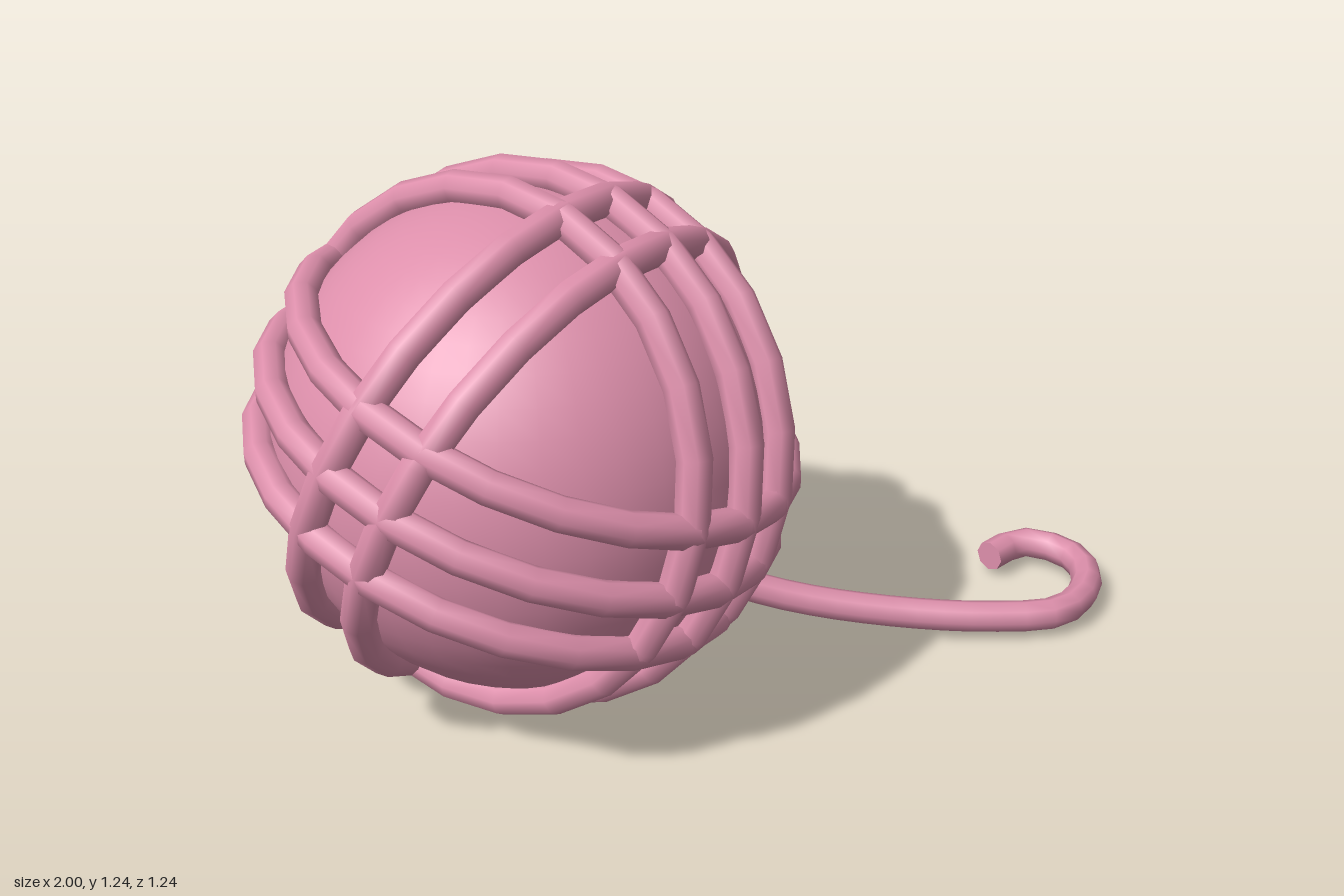
import * as THREE from 'three';

export function createModel() {
  const model = new THREE.Group();
  const pink = new THREE.MeshStandardMaterial({ color: 0xdd8fab });
  pink.name = 'pink yarn';

  const add = (parent, name, geometry) => {
    const mesh = new THREE.Mesh(geometry, pink);
    mesh.name = name;
    parent.add(mesh);
    return mesh;
  };

  // Ball core
  const ball = new THREE.Group();
  ball.name = 'yarnBall';
  ball.position.set(-0.38, 0.622, 0);
  model.add(ball);
  add(ball, 'core', new THREE.SphereGeometry(0.56, 40, 28));

  // Strands wound around the ball in three directions
  const strandRadius = 0.038;
  const windRadius = 0.583;
  const windings = [
    { name: 'uprightStrand', normal: [0.92, -0.2, -0.33], offsets: [-0.157, 0, 0.157] },
    { name: 'levelStrand', normal: [0.3, 0.925, 0.227], offsets: [-0.157, 0, 0.157] },
    { name: 'crossStrand', normal: [0.3, -0.4, 0.873], offsets: [-0.083, 0.083] },
  ];
  const zAxis = new THREE.Vector3(0, 0, 1);
  for (const { name, normal, offsets } of windings) {
    const n = new THREE.Vector3(...normal).normalize();
    for (const d of offsets) {
      const ringRadius = Math.sqrt(windRadius ** 2 - d ** 2);
      const ring = add(ball, name, new THREE.TorusGeometry(ringRadius, strandRadius, 8, 24));
      ring.quaternion.setFromUnitVectors(zAxis, n);
      ring.position.copy(n).multiplyScalar(d);
    }
  }

  // Loose tail lying on the ground with a curled end
  const path = new THREE.CatmullRomCurve3([
    [-0.05, 0.23, 0.04], [0.03, 0.18, 0.1], [0.2, 0.11, 0.22], [0.4, 0.07, 0.365],
    [0.6, 0.058, 0.51], [0.75, 0.058, 0.585], [0.88, 0.058, 0.545], [0.958, 0.058, 0.45],
    [0.955, 0.058, 0.36], [0.91, 0.058, 0.295], [0.86, 0.058, 0.288], [0.79, 0.058, 0.298],
  ].map((p) => new THREE.Vector3(...p)));
  const tail = new THREE.Group();
  tail.name = 'tail';
  model.add(tail);
  add(tail, 'tailStrand', new THREE.TubeGeometry(path, 24, strandRadius, 8));

  // Flat caps on both ends of the tail
  for (const t of [0, 1]) {
    const cap = add(tail, 'tailCap', new THREE.CircleGeometry(strandRadius, 8));
    const outward = path.getTangent(t).multiplyScalar(t ? 1 : -1);
    cap.position.copy(path.getPoint(t));
    cap.quaternion.setFromUnitVectors(zAxis, outward);
  }

  return model;
}
